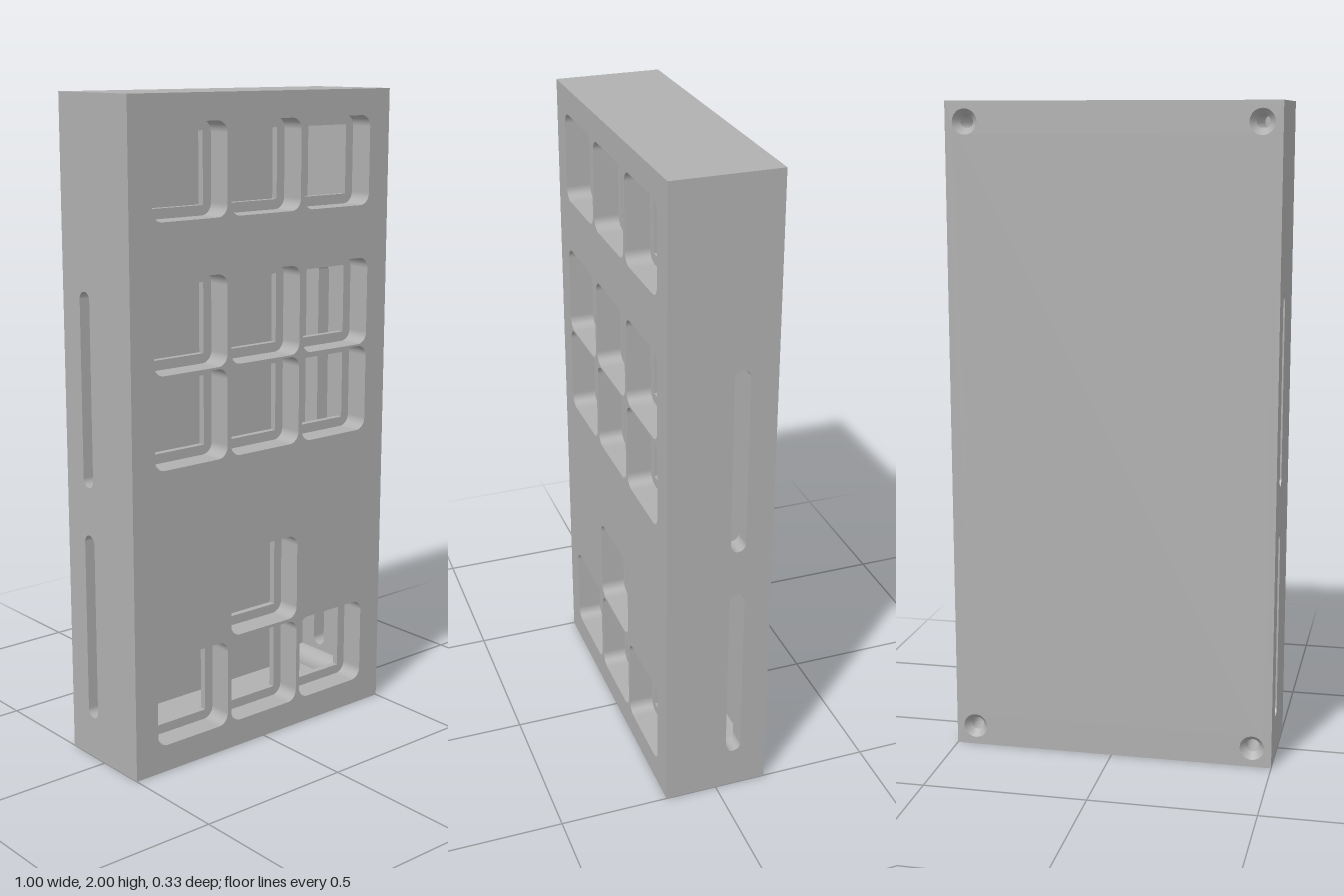
import * as THREE from 'three';

const W = 0.5, H = 2, Z = 0.163;            // half width, height, half depth
const T = 0.06;                             // wall thickness
const BACK = -Z + 0.025, LEDGE = 0.088, INNER = 0.068;
const POST = 0.05, BORE = 0.02, SINK = 0.038;

// Traces a rounded rectangle centred on (cx, cy)
function roundRect(path, cx, cy, hw, hh, r) {
  const q = Math.PI / 2;
  path.moveTo(cx + hw, cy - hh + r);
  path.lineTo(cx + hw, cy + hh - r);
  path.absarc(cx + hw - r, cy + hh - r, r, 0, q, false);
  path.absarc(cx - hw + r, cy + hh - r, r, q, 2 * q, false);
  path.absarc(cx - hw + r, cy - hh + r, r, 2 * q, 3 * q, false);
  path.absarc(cx + hw - r, cy - hh + r, r, 3 * q, 4 * q, false);
  return path;
}

function rect(x0, y0, x1, y1, PathType = THREE.Shape) {
  const p = new PathType();
  p.moveTo(x0, y0);
  p.lineTo(x1, y0);
  p.lineTo(x1, y1);
  p.lineTo(x0, y1);
  p.closePath();
  return p;
}

function circle(x, y, r) {
  const p = new THREE.Path();
  p.absarc(x, y, r, 0, Math.PI * 2, true);
  return p;
}

export function createModel() {
  const group = new THREE.Group();
  const grey = new THREE.MeshStandardMaterial({ color: 0xb0b0b0, side: THREE.DoubleSide });

  function add(name, geometry) {
    const mesh = new THREE.Mesh(geometry, grey);
    mesh.name = name;
    group.add(mesh);
    return mesh;
  }

  // Extrudes a front-facing outline between two depths
  function slab(name, shape, z0, z1) {
    const geo = new THREE.ExtrudeGeometry(shape, { depth: z1 - z0, bevelEnabled: false, curveSegments: 10 });
    return add(name, geo.translate(0, 0, z0));
  }

  // Key openings: full rows of three plus one single key
  const keys = [[0, 0.502]];
  for (const y of [0.22, 1.072, 1.35, 1.785]) {
    for (const x of [-0.284, 0, 0.284]) keys.push([x, y]);
  }

  // Front face with rounded pockets, and the thin plate with square holes behind it
  const face = rect(-W, 0, W, H);
  const plate = rect(-W, 0, W, H);
  for (const [x, y] of keys) {
    face.holes.push(roundRect(new THREE.Path(), x, y, 0.135, 0.136, 0.035));
    plate.holes.push(rect(x - 0.105, y - 0.106, x + 0.105, y + 0.106, THREE.Path));
  }
  slab('frontFace', face, LEDGE, Z);
  slab('keyPlate', plate, INNER, LEDGE);

  // End walls with a rounded, bored screw post in each corner
  const postX = W - T, endH = T + POST;
  const end = new THREE.Shape();
  end.moveTo(-W, 0);
  end.lineTo(W, 0);
  end.lineTo(W, endH);
  end.lineTo(postX, endH);
  end.absarc(postX, T, POST, Math.PI / 2, Math.PI, false);
  end.lineTo(-postX + POST, T);
  end.absarc(-postX, T, POST, 0, Math.PI / 2, false);
  end.lineTo(-W, endH);
  end.closePath();
  for (const s of [-1, 1]) end.holes.push(circle(s * postX, T, BORE));
  slab('bottomWall', end, BACK, INNER);
  const top = slab('topWall', end, BACK, INNER);
  top.rotation.z = Math.PI;
  top.position.y = H;

  // Side walls with two long slots each
  const side = rect(BACK, endH, INNER, H - endH);
  for (const y of [0.42, 1.15]) {
    side.holes.push(roundRect(new THREE.Path(), -0.056, y, 0.024, 0.291, 0.0235));
  }
  for (const [name, x] of [['leftWall', W], ['rightWall', -W + T]]) {
    const geo = new THREE.ExtrudeGeometry(side, { depth: T, bevelEnabled: false, curveSegments: 10 });
    add(name, geo.rotateY(-Math.PI / 2).translate(x, 0, 0));
  }

  // Back panel with countersunk screw holes
  const back = rect(-W, 0, W, H);
  const screws = [];
  for (const x of [-postX, postX]) for (const y of [T, H - T]) screws.push([x, y]);
  for (const [x, y] of screws) back.holes.push(circle(x, y, SINK));
  slab('backPanel', back, -Z, BACK);
  for (const [x, y] of screws) {
    const cone = new THREE.CylinderGeometry(BORE, SINK, BACK + Z, 24, 1, true);
    cone.rotateX(Math.PI / 2).translate(x, y, (BACK - Z) / 2);
    add('countersink', cone);
  }
  return group;
}
